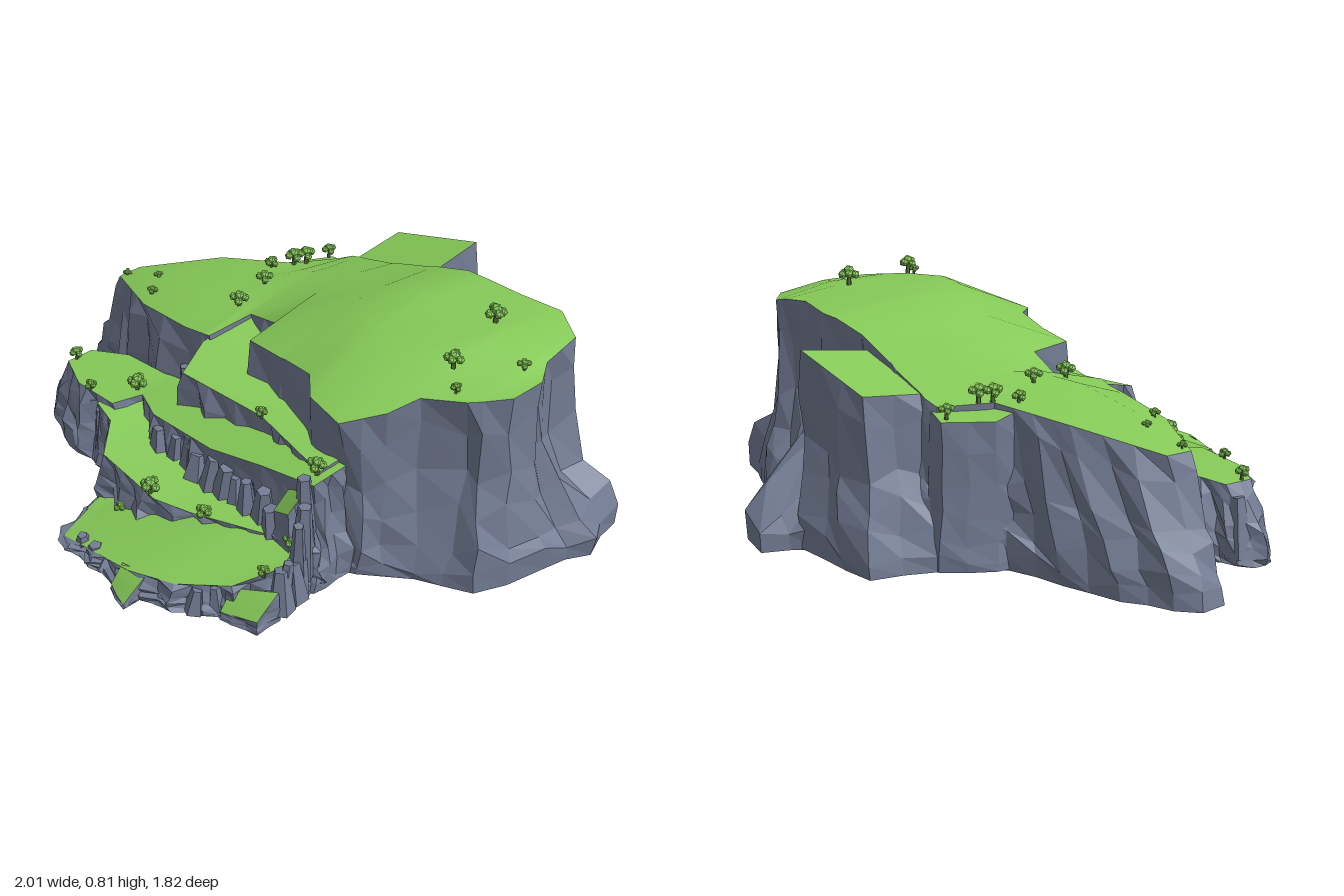
import * as THREE from 'three';

let seed = 7;
const rnd = () => { seed = (seed * 16807) % 2147483647; return seed / 2147483647; };
const jit = (a) => (rnd() * 2 - 1) * a;

const rockMat = new THREE.MeshStandardMaterial({ color: 0x737c94, flatShading: true, side: THREE.DoubleSide });
const grassMat = new THREE.MeshStandardMaterial({ color: 0x86ca58, side: THREE.DoubleSide });
const leafMat = new THREE.MeshStandardMaterial({ color: 0x86ca58, flatShading: true });
const trunkMat = new THREE.MeshStandardMaterial({ color: 0x56733a, flatShading: true });

function meshFrom(name, pos, index, mat) {
  const g = new THREE.BufferGeometry();
  g.setAttribute('position', new THREE.Float32BufferAttribute(pos, 3));
  g.setIndex(index);
  const geo = mat.flatShading ? g.toNonIndexed() : g;
  geo.computeVertexNormals();
  const m = new THREE.Mesh(geo, mat);
  m.name = name;
  return m;
}

// Grass surface lofted over rows [x, zBack, yBack, zFront, yFront, yCrown]
function grassCap(name, rows) {
  const pos = [], idx = [], ts = [0, 0.33, 0.66, 1];
  rows.forEach(([x, zb, yb, zf, yf, ym]) => ts.forEach((t, k) => {
    const y = (k === 1 || k === 2) && ym ? ym : yb + (yf - yb) * t;
    pos.push(x, y, zb + (zf - zb) * t);
  }));
  for (let i = 0; i < rows.length - 1; i++) for (let k = 0; k < 3; k++) {
    const a = i * 4 + k, b = a + 4;
    idx.push(a, a + 1, b, b, a + 1, b + 1);
  }
  return meshFrom(name, pos, idx, grassMat);
}

// Wall profile: straight slopes on the left, upright with a flared skirt on the right
const depth = [0, 0.18, 0.46, 0.62, 0.78, 0.91, 1];
const slope = [0, 0.2, 0.52, 0.7, 0.86, 0.97, 1];
const skirt = [0, -0.02, -0.02, 0.32, 0.76, 1, 0.99];
const rough = [0, 0.7, 1, 1, 0.9, 0.6, 0.3];

// Rock wall from the rim of a cap down to its foot, with ridged columns
function rockWall(name, rows, { flare = 0.025, feet = [], footY = () => 0.03, amp = 0.026, step = 0.055 }) {
  const rim = [...rows.map(r => new THREE.Vector3(r[0], r[2], r[1])),
    ...rows.slice().reverse().map(r => new THREE.Vector3(r[0], r[4], r[3]))];
  const n = rim.length;
  const foot = rim.map((p, i) => {
    if (feet[i]) return new THREE.Vector3(feet[i][0], footY(feet[i][0]), feet[i][1]);
    const d = rim[(i + 1) % n].clone().sub(rim[(i + n - 1) % n]);
    const l = Math.hypot(d.x, d.z) || 1;
    return new THREE.Vector3(p.x + d.z / l * flare, footY(p.x), p.z - d.x / l * flare);
  });
  const pos = [], idx = [], base = [], L = depth.length;
  let cols = 0;
  for (let i = 0; i < n; i++) {
    const j = (i + 1) % n;
    const span = Math.max(rim[i].distanceTo(rim[j]), foot[i].distanceTo(foot[j]));
    const d = foot[j].clone().sub(foot[i]).setY(0).normalize();
    const parts = Math.max(1, Math.round(span / step));
    for (let s = 0; s < parts; s++, cols++) {
      const top = rim[i].clone().lerp(rim[j], s / parts);
      const low = foot[i].clone().lerp(foot[j], s / parts);
      const ridge = (cols % 2 ? 0.5 : -0.6) * amp + jit(amp * 0.5);
      const mix = THREE.MathUtils.smoothstep(top.x, -0.5, 0.15);
      depth.forEach((t, k) => {
        const spread = slope[k] + (skirt[k] - slope[k]) * mix;
        const o = (ridge + jit(amp * 0.45)) * rough[k], along = jit(amp * 0.5) * rough[k];
        const y = top.y + (low.y - top.y) * (t + (k > 0 && k < L - 1 ? jit(0.06) : 0));
        const x = top.x + (low.x - top.x) * spread + d.z * o + d.x * along;
        const z = top.z + (low.z - top.z) * spread - d.x * o + d.z * along;
        pos.push(x, y, z);
        if (k === L - 1) base.push(new THREE.Vector2(x, z));
      });
    }
  }
  for (let c = 0; c < cols; c++) for (let k = 0; k < L - 1; k++) {
    const a = c * L + k, b = ((c + 1) % cols) * L + k;
    idx.push(a, b, a + 1, b, b + 1, a + 1);
  }
  // Underside
  THREE.ShapeUtils.triangulateShape(base, []).forEach(f => idx.push(...f.map(v => v * L + L - 1)));
  return meshFrom(name, pos, idx, rockMat);
}

// Small clumped tree
function tree(x, y, z, s) {
  const g = new THREE.Group();
  g.name = 'tree';
  const trunk = new THREE.Mesh(new THREE.CylinderGeometry(0.12, 0.18, 0.7, 5), trunkMat);
  trunk.position.y = 0.3;
  g.add(trunk);
  for (let i = 0; i < 5; i++) {
    const leaf = new THREE.Mesh(new THREE.IcosahedronGeometry(i ? 0.3 : 0.36, 0), leafMat);
    const a = i * Math.PI / 2 + x * 9;
    leaf.position.set(i ? Math.cos(a) * 0.4 : 0, i ? 0.68 + (i % 2) * 0.14 : 0.95, i ? Math.sin(a) * 0.4 : 0);
    g.add(leaf);
  }
  g.scale.setScalar(s);
  g.position.set(x, y, z);
  return g;
}

export function createModel() {
  seed = 7;
  const model = new THREE.Group();
  model.name = 'terracedCliff';
  const terrace = (name, rows, wall = {}) =>
    model.add(grassCap(name + 'Grass', rows), rockWall(name + 'Rock', rows, wall));

  // Upper plateau
  const plateau = [
    [-0.8, 0.03, 0.465, 0.12, 0.465], [-0.57, -0.17, 0.53, 0.19, 0.49, 0.535],
    [-0.34, -0.3, 0.56, 0.19, 0.51, 0.57], [-0.26, -0.46, 0.55, 0.18, 0.52, 0.585],
    [-0.22, -0.48, 0.57, 0.18, 0.53, 0.59], [-0.19, -0.48, 0.58, 0.02, 0.56, 0.6],
    [-0.04, -0.49, 0.62, 0.03, 0.6, 0.65], [-0.02, -0.49, 0.63, 0.17, 0.61, 0.655],
    [0.13, -0.505, 0.68, 0.17, 0.62, 0.7], [0.155, -0.51, 0.69, 0.17, 0.625, 0.715],
    [0.28, -0.54, 0.72, 0.18, 0.64, 0.75], [0.36, -0.55, 0.72, 0.25, 0.63, 0.75],
    [0.5, -0.55, 0.73, 0.26, 0.61, 0.75], [0.6, -0.58, 0.72, 0.15, 0.65, 0.75],
    [0.64, -0.6, 0.71, 0.05, 0.68, 0.75], [0.76, -0.53, 0.7, -0.03, 0.69, 0.725],
    [0.79, -0.36, 0.7, -0.07, 0.69, 0.71], [0.85, -0.27, 0.7, -0.14, 0.7],
  ];
  const feet = [
    [-1, 0.03], [-0.8, -0.13], [-0.42, -0.3], [-0.33, -0.48], [-0.3, -0.52], [-0.2, -0.6],
    [-0.04, -0.65], [0.02, -0.68], [0.08, -0.82], [0.11, -0.91], [0.25, -0.91], [0.34, -0.8],
    [0.46, -0.66], [0.55, -0.72], [0.7, -0.64], [0.95, -0.6], [1, -0.42], [0.95, -0.25],
    [0.92, -0.11], [0.87, 0.0], [0.79, 0.06], [0.7, 0.1], [0.63, 0.18],
  ];
  feet[35] = [-0.99, 0.13];
  terrace('plateau', plateau, {
    feet, footY: x => (x > 0.68 ? 0.005 : 0.025), amp: 0.026, step: 0.1,
  });

  // Shelves behind the plateau
  terrace('backShelf', [[-0.19, -0.68, 0.6, -0.46, 0.575], [0.13, -0.74, 0.68, -0.48, 0.64]], {
    feet: [[-0.28, -0.72], [0.06, -0.79], [0.15, -0.5], [-0.33, -0.5]], amp: 0.024, step: 0.1,
  });
  terrace('sideShelf', [[-0.4, -0.33, 0.52, -0.26, 0.54], [-0.32, -0.48, 0.52, -0.24, 0.55],
    [-0.22, -0.47, 0.54, -0.3, 0.56]], { flare: 0.03, amp: 0.015, step: 0.09 });

  // Zigzag ramps, highest first
  terrace('upperRamp', [[-0.23, 0.0, 0.55, 0.2, 0.51], [-0.18, 0.0, 0.55, 0.33, 0.47],
    [0.15, 0.08, 0.455, 0.27, 0.445], [0.48, 0.15, 0.45, 0.32, 0.44]]);
  const middleFeet = [[-0.82, 0.37]];
  middleFeet[15] = [-0.81, 0.45];
  terrace('middleRamp', [[-0.71, 0.33, 0.285, 0.43, 0.285], [-0.58, 0.26, 0.3, 0.48, 0.285],
    [-0.4, 0.24, 0.305, 0.47, 0.29], [-0.36, 0.23, 0.31, 0.37, 0.3], [-0.22, 0.22, 0.33, 0.43, 0.325],
    [0.08, 0.2, 0.38, 0.43, 0.355], [0.3, 0.18, 0.43, 0.4, 0.4], [0.51, 0.18, 0.44, 0.37, 0.43]],
  { flare: 0.06, feet: middleFeet });
  terrace('lowerRamp', [[-0.46, 0.36, 0.28, 0.49, 0.27], [-0.36, 0.35, 0.275, 0.51, 0.26],
    [-0.27, 0.38, 0.24, 0.61, 0.22], [0, 0.4, 0.21, 0.61, 0.195], [0.12, 0.38, 0.2, 0.56, 0.185],
    [0.4, 0.36, 0.2, 0.44, 0.195]]);
  terrace('entryRamp', [[-0.27, 0.58, 0.06, 0.65, 0.05], [-0.2, 0.55, 0.07, 0.84, 0.042],
    [0.14, 0.48, 0.17, 0.83, 0.11], [0.3, 0.42, 0.19, 0.77, 0.125], [0.45, 0.4, 0.2, 0.66, 0.15],
    [0.53, 0.38, 0.205, 0.5, 0.19]]);

  // Small sloping ledges on the lower rocks
  terrace('frontLedge', [[0.1, 0.82, 0.11, 0.87, 0.05], [0.2, 0.8, 0.115, 0.9, 0.045]],
    { flare: 0.005, amp: 0.006 });
  terrace('cornerLedge', [[0.44, 0.65, 0.13, 0.7, 0.06], [0.57, 0.57, 0.15, 0.66, 0.08]],
    { flare: 0.005, amp: 0.006 });
  terrace('outcropLedge', [[0.4, 0.36, 0.37, 0.44, 0.3], [0.48, 0.36, 0.41, 0.45, 0.34]],
    { flare: 0.01, amp: 0.008, footY: () => 0.19 });

  // Jagged rocks along the ramp fronts and the left cliff: foot height, top height
  const strew = (count, [x0, z0], [x1, z1], yLow, yHigh) => {
    for (let i = 0; i < count; i++) {
      const t = (i + 0.3 + rnd() * 0.4) / count, h = (yHigh - yLow) * (0.6 + rnd() * 0.4);
      const r = 0.03 + rnd() * 0.025;
      const rock = new THREE.Mesh(new THREE.CylinderGeometry(r * 0.5, r, h, 5), rockMat);
      rock.name = 'jaggedRock';
      rock.position.set(x0 + (x1 - x0) * t, yLow + h / 2, z0 + (z1 - z0) * t + jit(0.01));
      rock.rotation.set(jit(0.12), rnd() * 3, jit(0.2));
      model.add(rock);
    }
  };
  strew(9, [-0.74, 0.42], [-0.36, 0.48], 0.05, 0.26);
  strew(5, [-0.76, 0.37], [-0.55, 0.28], 0.05, 0.25);
  strew(8, [-0.78, 0.14], [-0.25, 0.19], 0.05, 0.42);
  strew(10, [-0.2, 0.44], [0.4, 0.41], 0.17, 0.35);
  strew(4, [0.48, 0.36], [0.54, 0.46], 0.1, 0.47);
  strew(4, [0.53, 0.44], [0.55, 0.56], 0.05, 0.24);
  strew(7, [-0.16, 0.82], [0.3, 0.77], 0.03, 0.09);
  strew(5, [0.34, 0.74], [0.55, 0.55], 0.03, 0.13);

  // Trees: x, y, z, size
  [[-0.25, 0.56, 0.02, 0.05], [-0.33, 0.56, -0.3, 0.05], [-0.31, 0.56, -0.34, 0.05], [-0.37, 0.55, -0.23, 0.04],
    [-0.28, 0.575, -0.12, 0.045], [-0.32, 0.53, -0.46, 0.04], [0.575, 0.745, -0.35, 0.055],
    [0.65, 0.74, -0.08, 0.05], [0.72, 0.71, -0.02, 0.03], [0.78, 0.71, -0.26, 0.035], [-0.65, 0.5, 0.06, 0.025],
    [-0.58, 0.5, 0.14, 0.03], [-0.78, 0.465, 0.1, 0.025], [-0.4, 0.29, 0.36, 0.055], [-0.7, 0.285, 0.4, 0.04],
    [-0.52, 0.28, 0.47, 0.035], [0.15, 0.44, 0.27, 0.035], [-0.03, 0.19, 0.6, 0.055], [0.16, 0.165, 0.53, 0.045],
    [0.48, 0.44, 0.33, 0.05], [0.48, 0.2, 0.44, 0.04], [0.5, 0.17, 0.57, 0.035], [-0.15, 0.06, 0.64, 0.035],
  ].forEach(t => model.add(tree(...t)));
  return model;
}
